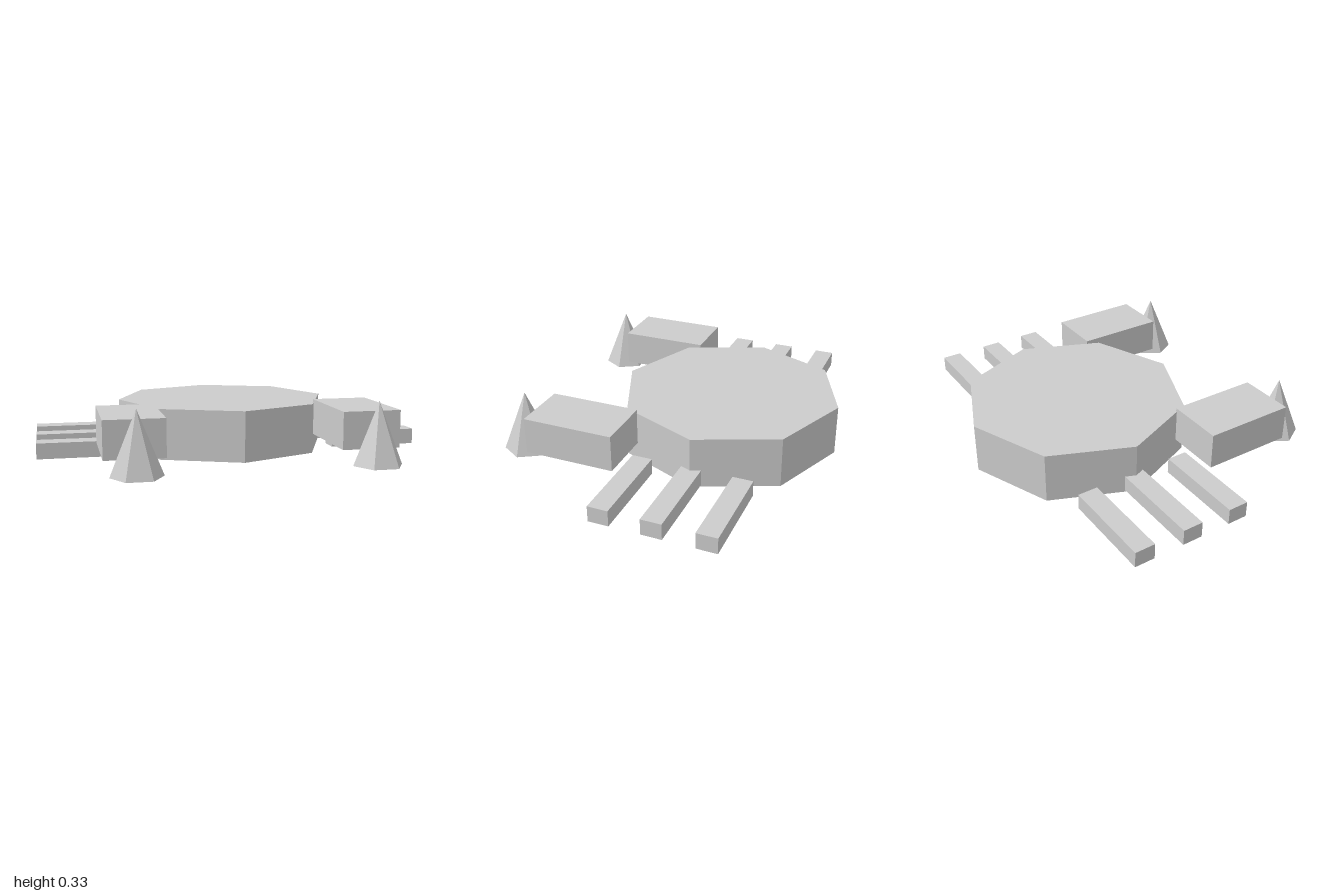
import * as THREE from 'three';

export function createModel() {
  const model = new THREE.Group();
  const material = new THREE.MeshStandardMaterial({ color: 0xcccccc, flatShading: true });

  function add(name, geometry, x, y, z) {
    const mesh = new THREE.Mesh(geometry, material);
    mesh.name = name;
    mesh.position.set(x, y, z);
    model.add(mesh);
    return mesh;
  }

  // Octagonal shell with a corner facing forward
  add('body', new THREE.CylinderGeometry(0.563, 0.563, 0.256, 8), 0, 0.128, -0.21);

  const legGeometry = new THREE.BoxGeometry(0.461, 0.08, 0.102);
  const armGeometry = new THREE.BoxGeometry(0.287, 0.183, 0.461);
  const clawGeometry = new THREE.ConeGeometry(0.122, 0.303, 6);

  for (const [side, s] of [['left', 1], ['right', -1]]) {
    // Three flat legs per side
    ['front', 'middle', 'back'].forEach((place, i) => {
      add(`${side} ${place} leg`, legGeometry, s * 0.7695, 0.05, 0.046 - i * 0.256);
    });
    // Forward arm and the six-sided claw at its tip
    add(`${side} arm`, armGeometry, s * 0.563, 0.182, 0.354);
    add(`${side} claw`, clawGeometry, s * 0.563, 0.181, 0.664).rotation.y = Math.PI / 6;
  }
  return model;
}
